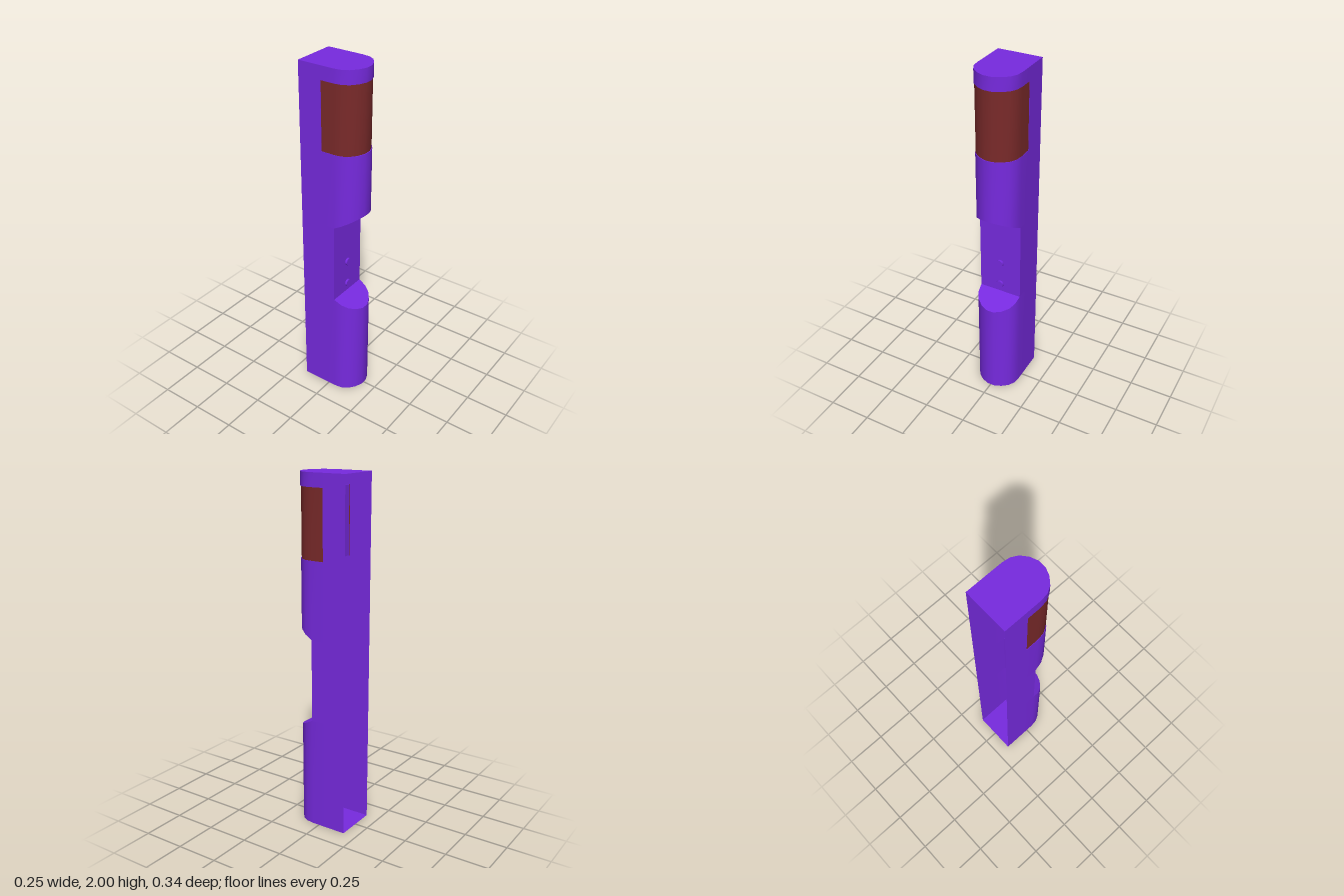
import * as THREE from 'three';

const purple = new THREE.MeshStandardMaterial({ color: 0x772adf, side: THREE.DoubleSide });
const red = new THREE.MeshStandardMaterial({ color: 0x7a2a2a, side: THREE.DoubleSide });

const W = 0.126, BACK = -0.17, CUT_Z = 0.043, POCKET_Z = -0.033;
const POCKET_BOTTOM = 1.545, POCKET_TOP = 1.925;

// Plan outline [x, z]: +x side, round the front, -x side
const half = [[W, CUT_Z], [0.12, 0.087], [0.1, 0.123], [0.064, 0.152], [0.022, 0.169]];
const arc = [...half, ...half.map(([x, z]) => [-x, z]).reverse()];
const outline = (zBack) => [[W, zBack], ...arc, [-W, zBack]];

// Sloped ends of the grip cut, as heights that depend on z
const slope = (z) => Math.max(0, (z - CUT_Z) / 0.126);
const cutLow = (z) => 0.64 - 0.065 * slope(z);
const cutHigh = (z) => 1.11 + 0.07 * slope(z);
const level = (y) => () => y;

function build(positions, index) {
  const g = new THREE.BufferGeometry();
  g.setAttribute('position', new THREE.Float32BufferAttribute(positions, 3));
  g.setIndex(index);
  g.computeVertexNormals();
  return g;
}

// Upright skin that follows a plan outline between two height rules
function wall(points, bottom, top) {
  const pos = [], idx = [];
  points.forEach(([x, z], i) => {
    pos.push(x, bottom(z), z, x, top(z), z);
    if (i) {
      const a = 2 * i - 2, b = 2 * i;
      idx.push(b, a, a + 1, b, a + 1, b + 1);
    }
  });
  return build(pos, idx);
}

// Flat or sloped face that fills a plan outline
function lid(points, height, up) {
  const pos = points.flatMap(([x, z]) => [x, height(z), z]);
  const idx = [];
  for (let i = 1; i < points.length - 1; i++) idx.push(...(up ? [0, i + 1, i] : [0, i, i + 1]));
  return build(pos, idx);
}

export function createModel() {
  const model = new THREE.Group();
  const add = (name, geometry, material = purple) => {
    const mesh = new THREE.Mesh(geometry, material);
    mesh.name = name;
    model.add(mesh);
    return mesh;
  };
  const front = outline(POCKET_Z), full = outline(BACK);

  // Rounded front skin in three stretches
  add('lowerShell', wall(front, level(0), cutLow));
  add('upperShell', wall(front, cutHigh, level(POCKET_BOTTOM)));
  add('topBand', wall(front, level(POCKET_TOP), level(2)));

  // Flat side walls, open at the back
  for (const s of [1, -1]) {
    const side = (z0, z1) => (s > 0 ? [[W, z0], [W, z1]] : [[-W, z1], [-W, z0]]);
    const label = s > 0 ? 'left' : 'right';
    add(label + 'SideWall', wall(side(BACK, POCKET_Z), level(0), level(2)));
    add(label + 'CutSide', wall(side(POCKET_Z, CUT_Z), level(0.64), level(1.11)));
  }

  // End caps
  add('bottomCap', lid(full, level(0), false));
  add('topCap', lid(full, level(2), true));

  // Grip cut: sloped ends and flat panel
  add('cutLowerSlope', lid(arc, cutLow, true));
  add('cutUpperSlope', lid(arc, cutHigh, false));
  add('cutPanel', wall([[W, CUT_Z], [-W, CUT_Z]], level(0.64), level(1.11)));

  // Pocket behind the coloured cover
  add('pocketFloor', lid(front, level(POCKET_BOTTOM), true));
  add('pocketCeiling', lid(front, level(POCKET_TOP), false));
  add('pocketPanel', wall([[W, POCKET_Z], [-W, POCKET_Z]], level(POCKET_BOTTOM), level(POCKET_TOP)));

  // Curved cover, set slightly inside the skin
  const inset = outline(POCKET_Z - 0.004).map(([x, z]) => [x * 0.985, z > 0 ? z * 0.975 : z]);
  add('cover', wall(inset, level(POCKET_BOTTOM), level(POCKET_TOP)), red);

  // Two round buttons on the cut panel
  for (const y of [0.69, 0.835]) {
    const button = add('button', new THREE.CylinderGeometry(0.022, 0.022, 0.012, 24));
    button.rotation.x = Math.PI / 2;
    button.position.set(0, y, CUT_Z + 0.0065);
  }
  return model;
}
